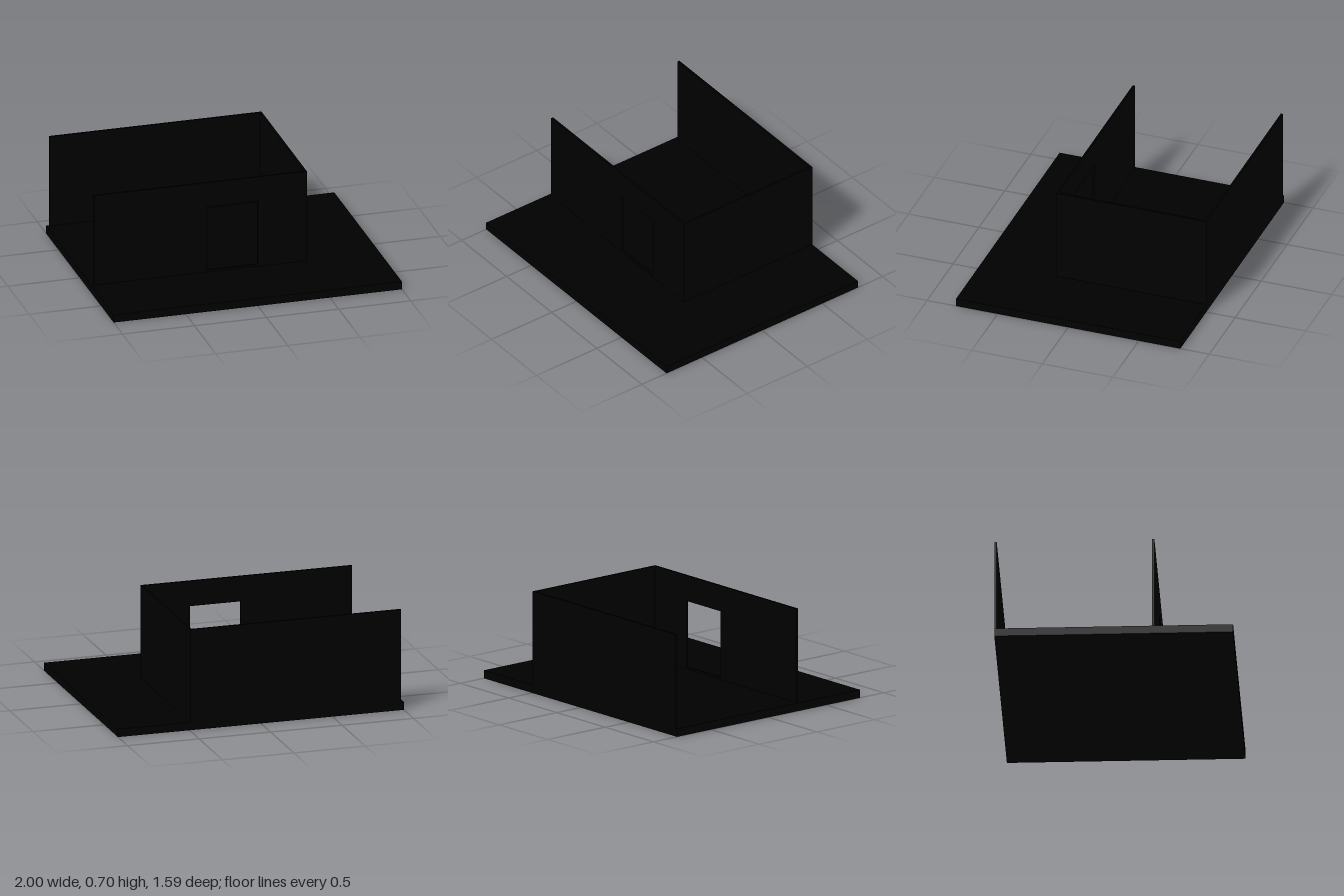
import * as THREE from 'three';

export function createModel() {
  const group = new THREE.Group();
  const black = new THREE.MeshStandardMaterial({ color: 0x000000 });
  black.name = 'black';

  const slabH = 0.055, top = 0.7, t = 0.015;
  const x0 = -0.98, x1 = 0.495, zFront = 0.27, zBack = -0.795;

  // Box given by its minimum and maximum corners
  function box(name, [ax, ay, az], [bx, by, bz]) {
    const mesh = new THREE.Mesh(new THREE.BoxGeometry(bx - ax, by - ay, bz - az), black);
    mesh.position.set((ax + bx) / 2, (ay + by) / 2, (az + bz) / 2);
    mesh.name = name;
    group.add(mesh);
  }

  // Ground slab, with the back and side walls (the -x end stays open)
  box('baseSlab', [-1, 0, -0.795], [1, slabH, 0.795]);
  box('backWall', [x0, slabH, zBack], [x1, top, zBack + t]);
  box('sideWall', [x1 - t, slabH, zBack + t], [x1, top, zFront - t]);

  // Front wall with a doorway above a low threshold
  const wall = new THREE.Shape([
    new THREE.Vector2(x0, slabH), new THREE.Vector2(x1, slabH),
    new THREE.Vector2(x1, top), new THREE.Vector2(x0, top),
  ]);
  const sill = slabH + 0.015, lintel = 0.525;
  wall.holes.push(new THREE.Path([
    new THREE.Vector2(-0.2, sill), new THREE.Vector2(-0.2, lintel),
    new THREE.Vector2(0.155, lintel), new THREE.Vector2(0.155, sill),
  ]));
  const frontWall = new THREE.Mesh(
    new THREE.ExtrudeGeometry(wall, { depth: t, bevelEnabled: false }), black);
  frontWall.position.z = zFront - t;
  frontWall.name = 'frontWall';
  group.add(frontWall);

  return group;
}
